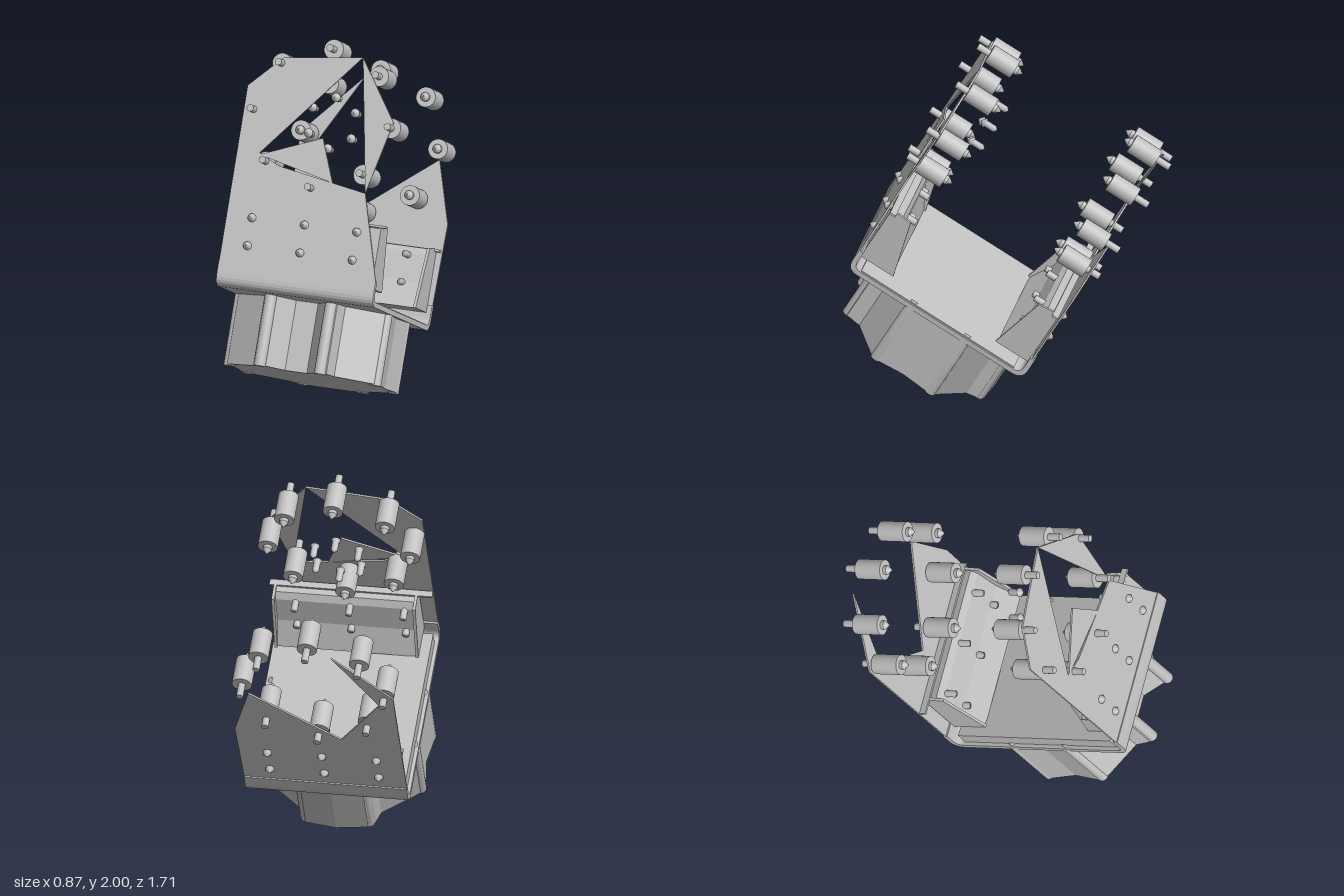
import * as THREE from 'three';

const CX = -0.012; // centre line of the bracket

export function createModel() {
  const grey = new THREE.MeshStandardMaterial({ color: 0xc0c0c0 });
  grey.name = 'light grey';
  grey.side = THREE.DoubleSide;

  const model = new THREE.Group();
  // everything is built upright, then the whole assembly leans back
  const rig = new THREE.Group();
  rig.name = 'tiltedAssembly';
  rig.rotation.x = -Math.PI / 6;
  model.add(rig);

  const add = (name, geo, parent = rig) => {
    const m = new THREE.Mesh(geo, grey);
    m.name = name;
    parent.add(m);
    return m;
  };
  const shapeOf = (pts) => new THREE.Shape(pts.map((p) => new THREE.Vector2(p[0], p[1])));

  // flat plate drawn in x/y, given a start z and a thickness
  const plate = (name, pts, z, t = 0.01) => {
    const g = new THREE.ExtrudeGeometry(shapeOf(pts), { depth: t, bevelEnabled: false });
    return add(name, g.translate(0, 0, z));
  };
  // z/y profile swept across x from x0 to x1
  const across = (name, shape, x0, x1) => {
    const g = new THREE.ExtrudeGeometry(shape, { depth: x1 - x0, bevelEnabled: false, curveSegments: 6 });
    return add(name, g.rotateY(-Math.PI / 2).translate(x1, 0, 0));
  };
  // stepped round pin along z, given [radius, z] pairs
  const pin = (name, x, y, prof) => {
    const pts = prof.map((p) => new THREE.Vector2(p[0], p[1]));
    const m = add(name, new THREE.LatheGeometry(pts, 14).rotateX(Math.PI / 2));
    m.position.set(x, y, 0);
  };

  // U-shaped channel with rounded outer and inner corners
  const u = new THREE.Shape();
  u.moveTo(0.005, 0.46);
  u.lineTo(0.005, 0.39);
  u.quadraticCurveTo(0.005, 0.325, 0.07, 0.325);
  u.lineTo(1.02, 0.325);
  u.quadraticCurveTo(1.085, 0.325, 1.085, 0.39);
  u.lineTo(1.085, 0.46);
  u.lineTo(1.058, 0.46);
  u.lineTo(1.058, 0.395);
  u.quadraticCurveTo(1.058, 0.352, 1.015, 0.352);
  u.lineTo(0.075, 0.352);
  u.quadraticCurveTo(0.032, 0.352, 0.032, 0.395);
  u.lineTo(0.032, 0.46);
  across('channelBase', u, -0.44, 0.42);

  // inner floor, rising towards one side
  plate('innerFloor', [[0.41, 0.345], [0.41, 0.358], [-0.42, 0.43], [-0.42, 0.345]], 0.075, 0.94);

  // front arm with its cut-outs
  plate('frontArm', [
    [-0.44, 0.45], [0.42, 0.45], [0.285, 0.905], [-0.2, 0.985], [-0.317, 1.04],
    [0.155, 1.605], [-0.27, 1.55], [-0.44, 1.38],
  ], 1.07);
  plate('frontArmSideWeb', [[0.155, 1.605], [0.285, 0.905], [0.375, 1.29]], 1.07);
  plate('frontArmInnerWeb', [[-0.317, 1.03], [0.1, 0.935], [0.01, 1.16]], 1.07);

  // rear arm
  plate('rearArm', [
    [-0.44, 0.45], [0.42, 0.45], [0.43, 0.89], [0.33, 1.22], [-0.13, 0.86],
    [-0.36, 1.2], [-0.14, 1.6], [-0.44, 1.27],
  ], 0.013);

  // corner trays: sloped panel, end walls and a thin ledge, mirrored front to rear
  for (const front of [false, true]) {
    const side = front ? 'front' : 'rear';
    const prof = (pts) => shapeOf(pts.map(([z, y]) => [front ? 1.09 - z : z, y]));
    const panel = [[0.03, 0.42], [0.22, 0.42], [0.15, 0.56], [0.125, 0.71], [0.1, 0.745], [0.03, 0.735]];
    const wall = [[0.03, 0.42], [0.23, 0.42], [0.15, 0.745], [0.07, 0.755], [0.03, 0.735]];
    across(side + 'TrayPanel', prof(panel), -0.35, 0.38);
    across(side + 'TrayWallRight', prof(wall), -0.365, -0.35);
    across(side + 'TrayWallLeft', prof(wall), 0.38, 0.395);
    const ledge = add(side + 'TrayLedge', new THREE.BoxGeometry(0.86, 0.012, 0.035));
    ledge.position.set(-0.01, 0.745, front ? 1.045 : 0.045);
  }

  // ring of eight rollers with spindles on each arm
  const ring = (name, mid, dir, reach) => {
    const group = new THREE.Group();
    group.name = name;
    rig.add(group);
    for (let i = 0; i < 8; i++) {
      const a = (i * Math.PI) / 4;
      const holder = new THREE.Group();
      holder.name = 'roller';
      holder.position.set(CX + Math.sin(a) * 0.376, 1.26 + Math.cos(a) * 0.367, mid);
      holder.rotation.y = dir > 0 ? 0 : Math.PI;
      group.add(holder);
      const body = new THREE.CylinderGeometry(0.053, 0.053, 0.155, 20).rotateX(Math.PI / 2);
      add('rollerBody', body, holder);
      const shaft = new THREE.CylinderGeometry(0.019, 0.019, reach, 12).rotateX(Math.PI / 2);
      add('rollerShaft', shaft, holder).position.z = 0.07 + reach / 2;
      const collar = new THREE.CylinderGeometry(0.024, 0.024, 0.02, 12).rotateX(Math.PI / 2);
      add('rollerCollar', collar, holder).position.z = -0.085;
      const tip = new THREE.ConeGeometry(0.024, 0.03, 12).rotateX(-Math.PI / 2);
      add('rollerTip', tip, holder).position.z = -0.11;
    }
  };
  ring('frontRollers', 0.993, 1, 0.08);
  ring('rearRollers', 0.117, -1, 0.085);

  // six small pins in the middle of the front ring
  for (let i = 0; i < 6; i++) {
    const a = (i * Math.PI) / 3;
    pin('centrePin', CX + Math.sin(a) * 0.135, 1.26 + Math.cos(a) * 0.135,
      [[0, 0.82], [0.018, 0.835], [0.018, 0.89], [0.024, 0.89], [0.024, 0.9], [0, 0.92]]);
  }

  // two rows of screws through each arm
  for (const x of [-0.3, CX, 0.275]) {
    for (const y of [0.55, 0.698]) {
      const inner = 0.18;
      pin('rearScrew', x, y, [[0, -0.02], [0.022, 0], [0.022, 0.02], [0.018, 0.02], [0.018, inner], [0, inner]]);
      const zi = 1.09 - inner;
      pin('frontScrew', x, y, [[0, zi], [0.018, zi], [0.018, 1.07], [0.022, 1.07], [0.022, 1.09], [0, 1.11]]);
    }
  }

  // fluted lower housing, outline in x/z about its centre
  const outline = [
    [0.06, 0.285], [0.13, 0.38], [0.165, 0.425], [0.2, 0.4], [0.22, 0.32], [0.4, 0.2],
    [0.428, 0.16], [0.405, 0], [0.428, -0.16], [0.4, -0.2], [0.22, -0.34], [0.2, -0.4],
    [0.165, -0.435], [0, -0.455],
  ];
  const left = outline.slice(0, -1).reverse().map(([x, z]) => [-x, z]);
  const housing = new THREE.ExtrudeGeometry(shapeOf([...outline, ...left]), { depth: 0.375, bevelEnabled: false });
  add('lowerHousing', housing.rotateX(Math.PI / 2)).position.set(CX, 0.33, 0.53);

  // eight round posts with hollow ends around the housing
  const postProfile = [
    [0.015, 0.0], [0.015, -0.05], [0.031, -0.05], [0.031, 0.33], [0.02, 0.33], [0.02, 0.36], [0, 0.36],
  ].map((p) => new THREE.Vector2(p[0], p[1]));
  for (const sx of [-1, 1]) {
    for (const sz of [-1, 1]) {
      for (const [x, z] of [[0.165, 0.4], [0.4, 0.165]]) {
        const post = add('housingPost', new THREE.LatheGeometry(postProfile, 14));
        post.position.set(CX + sx * x, 0, 0.53 + sz * z);
      }
    }
  }

  return model;
}
